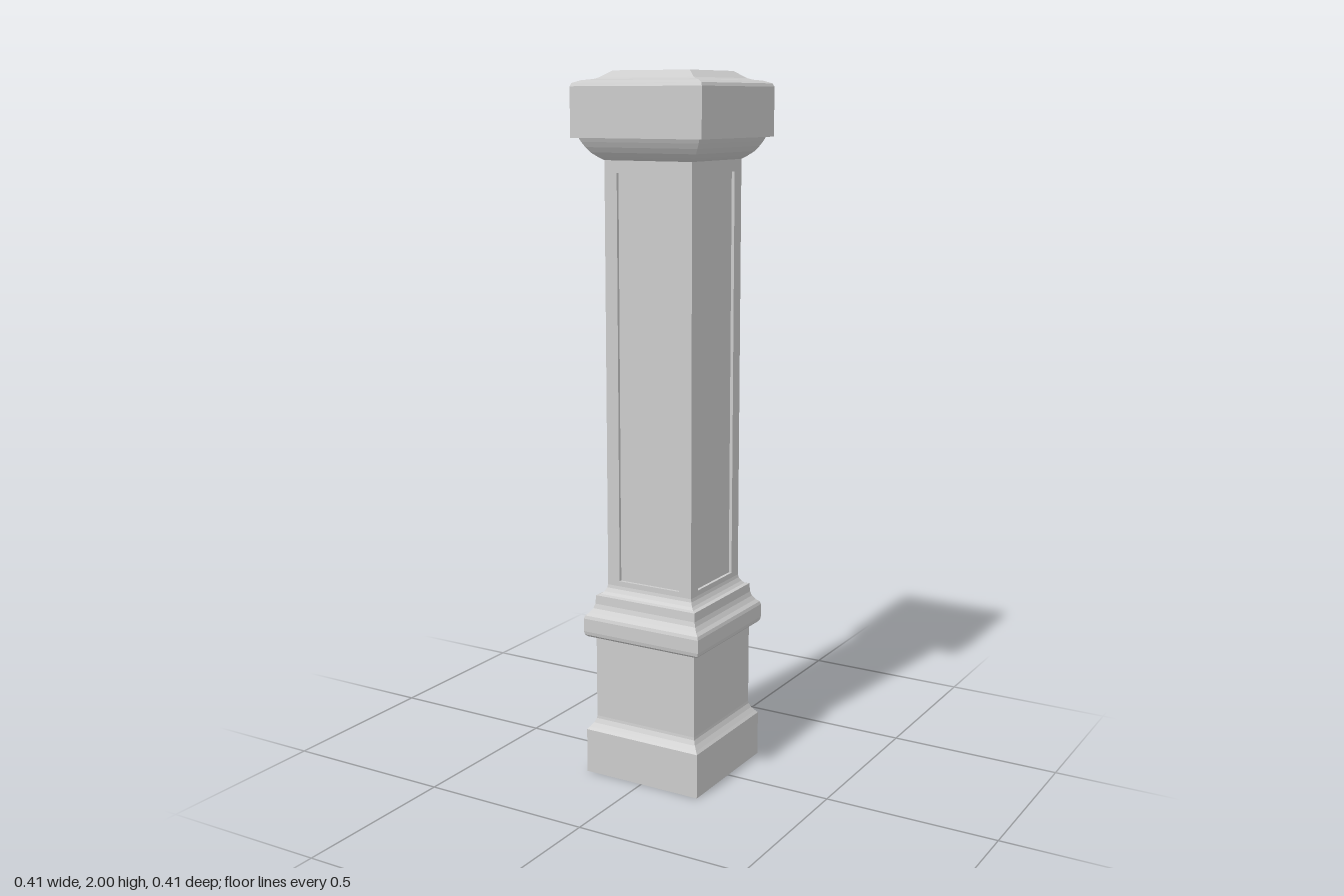
import * as THREE from 'three';

const material = new THREE.MeshStandardMaterial({ color: 0xcccccc, flatShading: true });

// Square moulding: sweeps a [halfWidth, y] profile around four mitred sides, with both ends capped
function squareMoulding(name, profile) {
  const corners = [[1, 1], [1, -1], [-1, -1], [-1, 1]];
  const pos = [];
  const point = ([r, y], k) => [r * corners[k % 4][0], y, r * corners[k % 4][1]];
  const quad = (a, b, c, d) => pos.push(...a, ...b, ...c, ...a, ...c, ...d);
  for (let i = 0; i < profile.length - 1; i++) {
    for (let k = 0; k < 4; k++) {
      quad(point(profile[i], k), point(profile[i], k + 1), point(profile[i + 1], k + 1), point(profile[i + 1], k));
    }
  }
  const ring = (p) => [0, 1, 2, 3].map((k) => point(p, k));
  quad(...ring(profile[0]).reverse());
  quad(...ring(profile[profile.length - 1]));
  const geometry = new THREE.BufferGeometry();
  geometry.setAttribute('position', new THREE.Float32BufferAttribute(pos, 3));
  geometry.computeVertexNormals();
  const mesh = new THREE.Mesh(geometry, material);
  mesh.name = name;
  return mesh;
}

// Rectangular frame with an opening, around one recessed panel
function panelFrame(halfWidth, y0, y1, depth) {
  const rect = (path, w, a, b) => path.moveTo(-w, a).lineTo(w, a).lineTo(w, b).lineTo(-w, b).closePath();
  const shape = new THREE.Shape();
  shape.moveTo(-halfWidth, y0).lineTo(halfWidth, y0).lineTo(halfWidth, y1).lineTo(-halfWidth, y1).closePath();
  const hole = new THREE.Path();
  hole.moveTo(-0.098, 0.58).lineTo(-0.098, 1.73).lineTo(0.098, 1.73).lineTo(0.098, 0.58).closePath();
  shape.holes.push(hole);
  return new THREE.ExtrudeGeometry(shape, { depth, bevelEnabled: false });
}

export function createModel() {
  const model = new THREE.Group();
  model.name = 'column';

  // Plinth with a coved shoulder, and the pedestal block above it
  model.add(squareMoulding('pedestal', [
    [0.184, 0], [0.184, 0.13], [0.178, 0.137], [0.169, 0.149], [0.163, 0.162], [0.162, 0.17], [0.162, 0.42],
  ]));

  // Rounded belt moulding stepping in to the shaft
  model.add(squareMoulding('beltMoulding', [
    [0.162, 0.414], [0.18, 0.414], [0.186, 0.42], [0.188, 0.43], [0.188, 0.468], [0.185, 0.477],
    [0.176, 0.485], [0.168, 0.497], [0.164, 0.51], [0.162, 0.535], [0.152, 0.538],
    [0.145, 0.545], [0.139, 0.556], [0.137, 0.565],
  ]));

  // Shaft: core with one recessed panel on each side
  const shaft = new THREE.Group();
  shaft.name = 'shaft';
  const outer = 0.137, inner = 0.128, bottom = 0.56, top = 1.77;
  const core = new THREE.Mesh(new THREE.BoxGeometry(inner * 2, top - bottom, inner * 2), material);
  core.name = 'recessedPanels';
  core.position.y = (top + bottom) / 2;
  shaft.add(core);
  for (let i = 0; i < 4; i++) {
    const geometry = panelFrame(i % 2 ? inner : outer, bottom, top, outer - inner);
    geometry.translate(0, 0, inner);
    geometry.rotateY((i * Math.PI) / 2);
    const frame = new THREE.Mesh(geometry, material);
    frame.name = 'panelFrame';
    shaft.add(frame);
  }
  model.add(shaft);

  // Capital: coved neck, deep block and low raised top
  model.add(squareMoulding('capital', [
    [0.137, 1.763], [0.143, 1.767], [0.15, 1.772], [0.164, 1.784], [0.174, 1.798], [0.182, 1.812], [0.187, 1.823],
    [0.203, 1.823], [0.203, 1.958], [0.199, 1.967], [0.181, 1.974], [0.158, 1.977], [0.147, 1.981], [0.119, 2.0],
  ]));
  return model;
}
